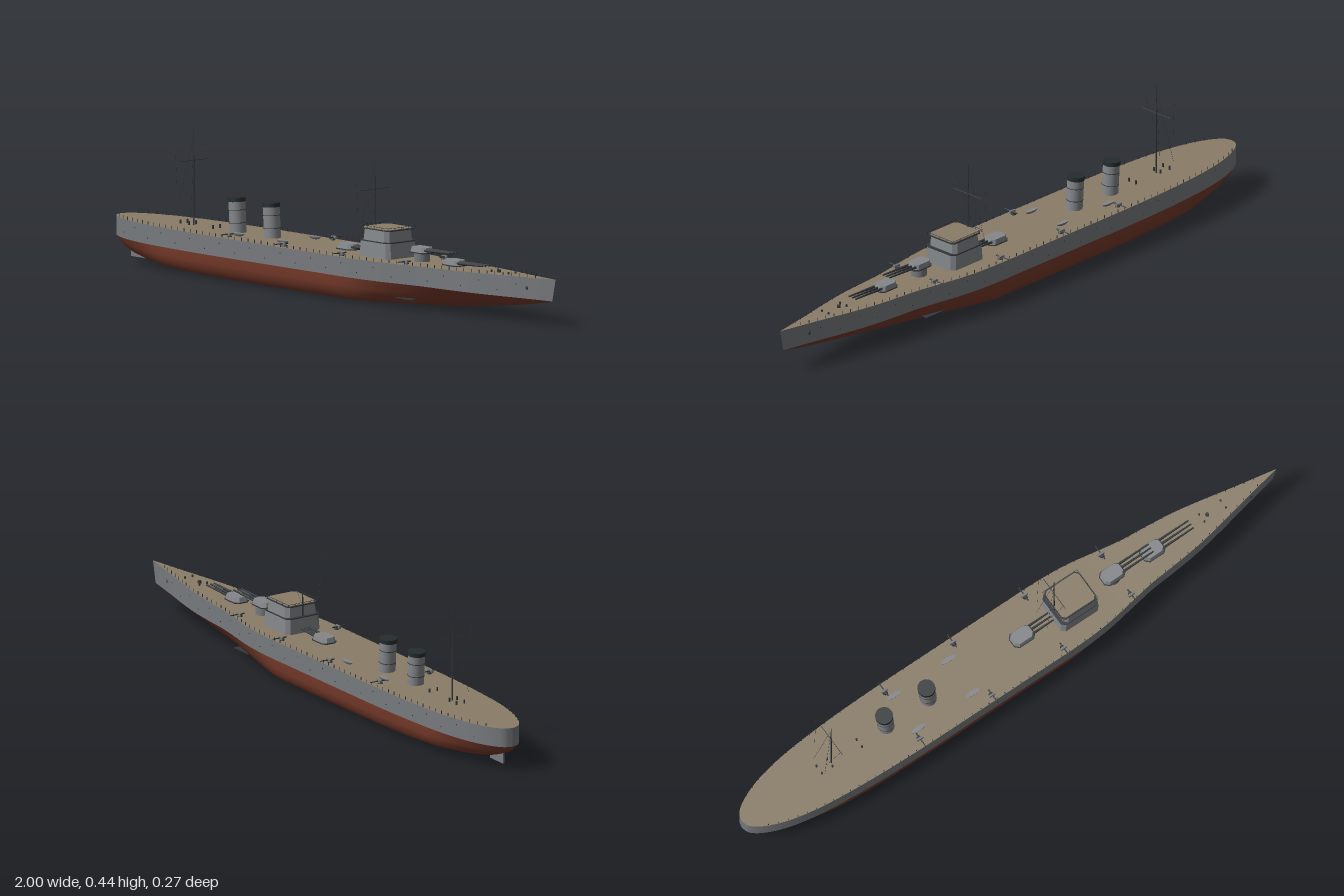
import * as THREE from 'three';
import { mergeGeometries } from 'three/addons/utils/BufferGeometryUtils.js';

const mat = (name, color, side = THREE.FrontSide) => {
  const m = new THREE.MeshStandardMaterial({ color, side });
  m.name = name;
  return m;
};
const WL = 0.078; // waterline height

// [x, half breadth, keel height] from stern to bow
const stations = [
  [-1, 0, 0.08], [-0.993, 0.022, 0.073], [-0.975, 0.04, 0.058], [-0.94, 0.06, 0.04], [-0.88, 0.082, 0.026],
  [-0.78, 0.102, 0.015], [-0.62, 0.116, 0.006], [-0.45, 0.122, 0.002], [-0.2, 0.123, 0], [0, 0.123, 0],
  [0.2, 0.122, 0.001], [0.3, 0.114, 0.005], [0.4, 0.097, 0.009], [0.48, 0.084, 0.014], [0.56, 0.077, 0.019],
  [0.66, 0.066, 0.03], [0.76, 0.048, 0.042], [0.86, 0.026, 0.055], [0.985, 0, 0.077],
];
const curve = new THREE.CatmullRomCurve3(stations.map(s => new THREE.Vector3(...s)));
const hullRows = curve.getPoints(108);
const clamp01 = v => Math.min(1, Math.max(0, v));
const deckY = x => 0.138 + 0.009 * Math.pow(clamp01((x - 0.3) / 0.7), 1.5);
const rake = (x, y) => 0.015 * clamp01((x - 0.8) / 0.185) * (y - WL) / 0.069;
function halfAt(x) {
  const i = Math.max(1, hullRows.findIndex(p => p.x >= x));
  const a = hullRows[i - 1], b = hullRows[i];
  return a.y + (b.y - a.y) * (x - a.x) / (b.x - a.x);
}

// skin through one open cross-section per station
function loft(section) {
  const pos = [], idx = [];
  let n = 0;
  hullRows.forEach((p, i) => {
    const pts = section(p.x, Math.max(0, p.y), p.z);
    n = pts.length;
    pts.forEach(([y, z]) => pos.push(p.x + rake(p.x, y), y, z));
    if (i === 0) return;
    for (let j = 0; j < n - 1; j++) {
      const a = (i - 1) * n + j, b = a + n;
      idx.push(a, b, a + 1, b, b + 1, a + 1);
    }
  });
  const g = new THREE.BufferGeometry();
  g.setAttribute('position', new THREE.Float32BufferAttribute(pos, 3));
  g.setIndex(idx);
  g.computeVertexNormals();
  return g;
}

function underwater(x, h, keel) {
  const level = [0, 0.01, 0.05, 0.14, 0.35, 0.62, 1];
  const full = [0, 0.54, 0.7, 0.82, 0.92, 0.98, 1];
  const v = Math.max(clamp01((x - 0.15) / 0.5), 0.6 * clamp01((-x - 0.7) / 0.3));
  const side = level.map((t, k) => [
    keel + (WL - keel) * t,
    h * (full[k] * (1 - v) + Math.pow(t, 0.75) * v),
  ]);
  return [...side.slice(1).reverse().map(([y, z]) => [y, -z]), ...side];
}

// box / cylinder geometry helpers
const boxG = (w, h, d, x, y, z) => new THREE.BoxGeometry(w, h, d).translate(x, y, z);
function rod(a, b, r, r2 = r, sides = 8) {
  const A = new THREE.Vector3(...a), B = new THREE.Vector3(...b);
  const d = B.clone().sub(A);
  const g = new THREE.CylinderGeometry(r2, r, d.length(), sides);
  g.applyQuaternion(new THREE.Quaternion().setFromUnitVectors(new THREE.Vector3(0, 1, 0), d.normalize()));
  return g.translate(...A.add(B).multiplyScalar(0.5).toArray());
}
// flat outline with cut corners, extruded upward and narrowed toward the top
function house(w, h, d, cut, taper) {
  const a = w / 2, b = d / 2;
  const s = new THREE.Shape([[-a, -b + cut], [-a + cut, -b], [a - cut, -b], [a, -b + cut],
    [a, b - cut], [a - cut, b], [-a + cut, b], [-a, b - cut]].map(p => new THREE.Vector2(...p)));
  const g = new THREE.ExtrudeGeometry(s, { depth: h, bevelEnabled: false }).rotateX(-Math.PI / 2);
  const p = g.attributes.position;
  for (let i = 0; i < p.count; i++) {
    const k = 1 - taper * p.getY(i) / h;
    p.setX(i, p.getX(i) * k);
    p.setZ(i, p.getZ(i) * k);
  }
  g.computeVertexNormals();
  return g;
}

export function createModel() {
  const ship = new THREE.Group();
  ship.name = 'warship';
  const grey = mat('hull grey', 0x777a7e), red = mat('bottom red', 0x783b2b);
  const tan = mat('deck tan', 0x8a7d68), light = mat('superstructure grey', 0x84878b);
  const dark = mat('dark metal', 0x33383c), black = mat('funnel cap', 0x252d2f);
  const add = (name, g, m, parent = ship) => {
    const o = new THREE.Mesh(g, m);
    o.name = name;
    parent.add(o);
    return o;
  };

  // hull
  add('lowerHull', loft(underwater), red);
  add('hullSideLeft', loft((x, h) => [[WL, h], [deckY(x), h]]), grey);
  add('hullSideRight', loft((x, h) => [[deckY(x), -h], [WL, -h]]), grey);
  add('deck', loft((x, h) => [[deckY(x), h], [deckY(x), -h]]), tan);
  add('rudder', boxG(0.07, 0.04, 0.006, -0.915, 0.031, 0), grey);
  for (const s of [-1, 1]) add('bowFin', boxG(0.08, 0.003, 0.02, 0.39, 0.03, s * 0.068), dark);

  // portholes and deck-edge railing
  const ports = [], posts = [];
  for (const s of [-1, 1]) {
    for (let x = -0.94; x < 0.95; x += 0.03) {
      const z = halfAt(x), y = deckY(x);
      posts.push(boxG(0.0015, 0.01, 0.0015, x, y + 0.005, s * (z - 0.002)));
    }
    for (let x = -0.9, k = 0; x < 0.92; x += 0.07, k++) {
      const slope = (halfAt(x + 0.01) - halfAt(x - 0.01)) / 0.02;
      const disc = new THREE.CylinderGeometry(0.0018, 0.0018, 0.002, 8).rotateX(Math.PI / 2);
      ports.push(disc.rotateY(-s * Math.atan(slope)).translate(x, k % 2 ? 0.12 : 0.097, s * halfAt(x)));
    }
    ports.push(new THREE.SphereGeometry(0.005, 10, 8).scale(1, 1.3, 0.5).translate(0.89, 0.112, s * halfAt(0.89)));
  }
  add('portholes', mergeGeometries(ports), dark);
  add('railingPosts', mergeGeometries(posts), dark);

  // bridge
  const bridge = new THREE.Group();
  bridge.name = 'bridge';
  bridge.position.set(0.228, 0.136, 0);
  ship.add(bridge);
  add('lowerTier', house(0.142, 0.05, 0.126, 0.012, 0.04), light, bridge);
  add('tierLedge', house(0.138, 0.003, 0.122, 0.012, 0), dark, bridge).position.y = 0.05;
  add('upperTier', house(0.118, 0.039, 0.116, 0.012, 0.06), light, bridge).position.y = 0.05;
  add('roofEdge', house(0.13, 0.003, 0.112, 0.01, 0), dark, bridge).position.y = 0.087;
  add('roof', house(0.123, 0.003, 0.105, 0.01, 0), tan, bridge).position.y = 0.089;
  const rail = [];
  for (const s of [-1, 1]) {
    rail.push(boxG(0.128, 0.001, 0.001, 0, 0.097, s * 0.055), boxG(0.001, 0.001, 0.11, s * 0.064, 0.097, 0));
    for (let k = -2; k <= 2; k++) {
      rail.push(boxG(0.001, 0.008, 0.001, k * 0.032, 0.093, s * 0.055));
      rail.push(boxG(0.001, 0.008, 0.001, s * 0.064, 0.093, k * 0.0275));
    }
  }
  add('roofRailing', mergeGeometries(rail), dark, bridge);

  // triple gun turrets
  [[0.535, 0.14, 0], [0.385, 0.14, 0.023], [0.048, 0.138, 0]].forEach(([x, y, lift]) => {
    const t = new THREE.Group();
    t.name = 'mainTurret';
    t.position.set(x, y, 0);
    ship.add(t);
    add('barbette', rod([0, -0.004, 0], [0, lift + 0.005, 0], 0.025, 0.025, 20), grey, t);
    add('turretBase', house(0.078, 0.003, 0.054, 0.012, 0), dark, t).position.y = lift + 0.002;
    add('gunhouse', house(0.074, 0.015, 0.05, 0.012, 0.12), light, t).position.y = lift + 0.005;
    for (const z of [-0.014, 0, 0.014]) {
      add('gunBarrel', rod([0.03, lift + 0.012, z], [x > 0.3 ? 0.145 : 0.108, lift + 0.015, z], 0.0042, 0.0026), dark, t);
    }
  });

  // funnels, raked slightly aft
  for (const x of [-0.46, -0.302]) {
    const f = new THREE.Group();
    f.name = 'funnel';
    f.position.set(x, 0.136, 0);
    f.rotation.z = 0.07;
    ship.add(f);
    add('funnelBody', rod([0, 0, 0], [0, 0.1, 0], 0.026, 0.026, 24), light, f);
    add('funnelCap', rod([0, 0.096, 0], [0, 0.109, 0], 0.0275, 0.0275, 24), black, f);
    for (const y of [0.03, 0.07]) add('funnelBand', rod([0, y, 0], [0, y + 0.002, 0], 0.0268, 0.0268, 24), dark, f);
  }

  // masts with yard and rigging
  for (const x of [-0.665, 0.168]) {
    const m = new THREE.Group();
    m.name = 'mast';
    m.position.x = x;
    ship.add(m);
    add('mastPole', rod([0, 0.136, 0], [0, 0.437, 0], 0.0028, 0.0012), dark, m);
    add('yard', rod([0, 0.338, -0.06], [0, 0.338, 0.06], 0.001), dark, m);
    const lines = [];
    for (const s of [-1, 1]) {
      lines.push(rod([0, 0.42, 0], [-0.045, 0.17, s * 0.03], 0.0004, 0.0004, 4));
      lines.push(rod([-0.012, 0.385, s * 0.065], [-0.04, 0.25, s * 0.033], 0.0004, 0.0004, 4));
    }
    add('rigging', mergeGeometries(lines), dark, m);
  }

  // deck guns and small boats, mirrored
  for (const s of [-1, 1]) {
    [[0.4, 0.076], [0.13, 0.1], [-0.137, 0.1], [-0.4, 0.09]].forEach(([x, z]) => {
      const g = new THREE.Group();
      g.name = 'deckGun';
      g.position.set(x, 0.138, s * z);
      ship.add(g);
      add('gunMount', rod([0, 0, 0], [0, 0.007, 0], 0.008, 0.006, 12), dark, g);
      add('gunShield', boxG(0.022, 0.009, 0.007, 0, 0.008, s * 0.005), grey, g);
      add('gunBarrel', rod([0, 0.008, -s * 0.015], [0, 0.009, s * 0.036], 0.0024, 0.0015), dark, g);
    });
    for (const x of [-0.182, -0.385]) {
      const boat = new THREE.SphereGeometry(1, 16, 8, 0, Math.PI * 2, Math.PI / 2, Math.PI / 2);
      add('boatHull', boat.scale(0.026, 0.01, 0.008).translate(x, 0.149, s * 0.066), grey);
      const cover = new THREE.CircleGeometry(1, 16).rotateX(-Math.PI / 2);
      add('boatCover', cover.scale(0.026, 1, 0.008).translate(x, 0.149, s * 0.066), light);
    }
    // bollards and vents fore and aft
    for (const x of [-0.71, -0.67, -0.56, 0.72, 0.8]) {
      add('bollard', rod([x, 0.136, s * 0.014], [x, 0.15, s * 0.014], 0.003), dark);
    }
  }
  add('capstan', rod([0.74, 0.14, 0], [0.74, 0.15, 0], 0.006, 0.006, 12), dark);
  return ship;
}
